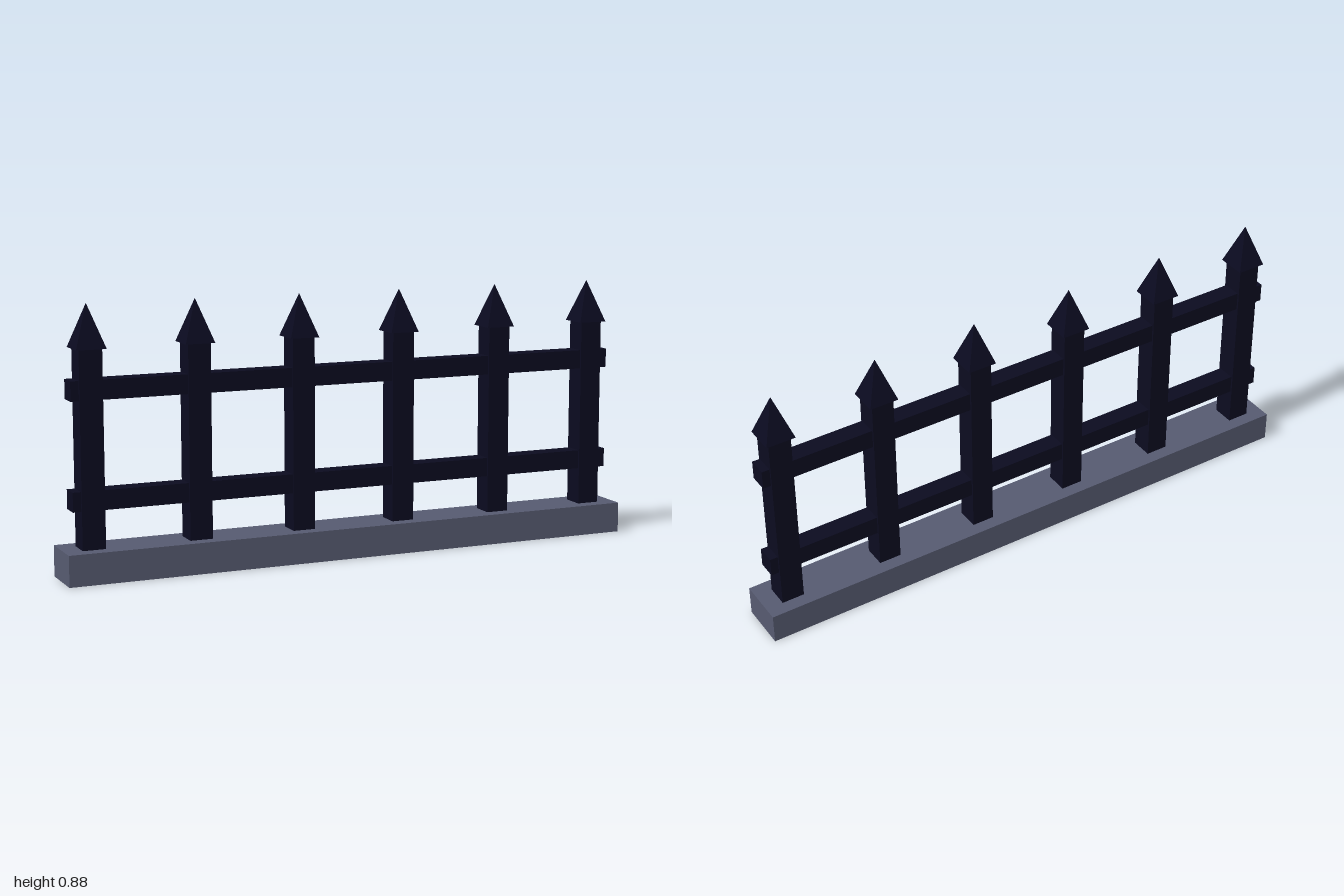
import * as THREE from 'three';

export function createModel() {
  const model = new THREE.Group();
  model.name = 'spikedFence';

  const stone = new THREE.MeshStandardMaterial({ color: 0x565a70 });
  stone.name = 'slate stone';
  const iron = new THREE.MeshStandardMaterial({ color: 0x0b0b20 });
  iron.name = 'dark iron';

  const add = (name, geometry, material, x, y) => {
    const mesh = new THREE.Mesh(geometry, material);
    mesh.name = name;
    mesh.position.set(x, y, 0);
    model.add(mesh);
  };

  // Stone plinth
  const baseTop = 0.103;
  add('base', new THREE.BoxGeometry(2, baseTop, 0.167), stone, 0, baseTop / 2);

  // Two horizontal rails running through the posts
  const rail = new THREE.BoxGeometry(1.936, 0.064, 0.064);
  add('lowerRail', rail, iron, 0, 0.26);
  add('upperRail', rail, iron, 0, 0.613);

  // Square posts with four-sided pointed caps
  const postTop = 0.743, tip = 0.885, count = 6, spacing = 0.361;
  const post = new THREE.BoxGeometry(0.077, postTop - baseTop, 0.077);
  const spike = new THREE.ConeGeometry(0.05 * Math.SQRT2, tip - postTop, 4)
    .rotateY(Math.PI / 4)
    .toNonIndexed();
  spike.computeVertexNormals();
  for (let i = 0; i < count; i++) {
    const x = (i - (count - 1) / 2) * spacing;
    add('post', post, iron, x, (baseTop + postTop) / 2);
    add('spike', spike, iron, x, (postTop + tip) / 2);
  }

  return model;
}
